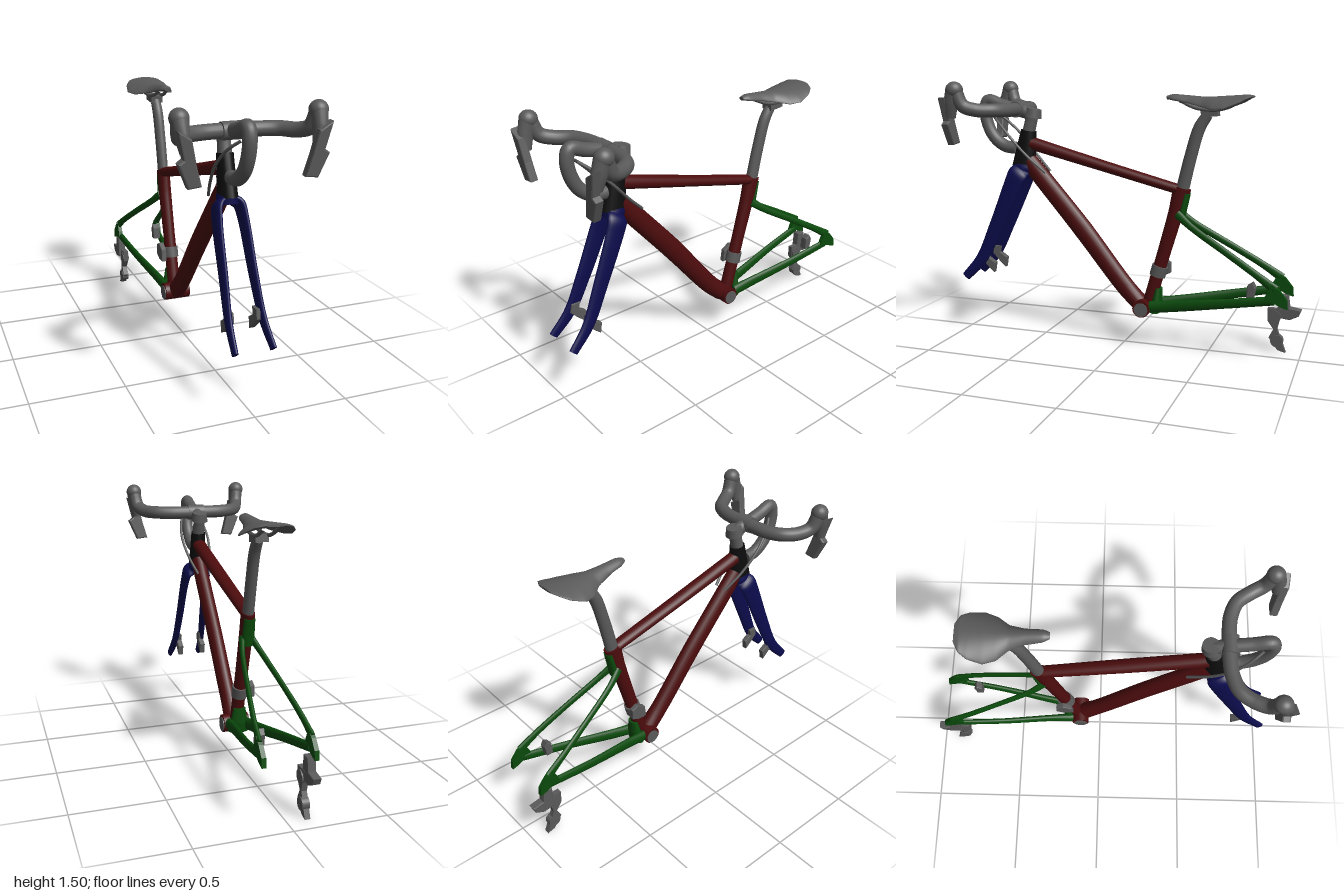
import * as THREE from 'three';

const mat = (name, color) => {
  const m = new THREE.MeshStandardMaterial({ color });
  m.name = name;
  return m;
};
const V = (p) => new THREE.Vector3(p[0], p[1], p[2]);

// Sweeps an oval along stations [x, y, z, halfWidth, halfDepth, droop]
function loft(stations, steps = 24, sides = 20) {
  const curve = new THREE.CatmullRomCurve3(stations.map(V));
  const pos = [], index = [], n = stations.length - 1;
  const ring = (t) => {
    const i = Math.min(n - 1, Math.floor(t * n)), f = t * n - i;
    const [a, b, d] = [3, 4, 5].map((k) =>
      THREE.MathUtils.lerp(stations[i][k] || 0, stations[i + 1][k] || 0, f));
    const c = curve.getPoint(t), T = curve.getTangent(t);
    const N = new THREE.Vector3(1, 0, 0).addScaledVector(T, -T.x).normalize();
    const B = T.clone().cross(N);
    for (let j = 0; j < sides; j++) {
      const q = (j / sides) * Math.PI * 2, cs = Math.cos(q);
      const p = c.clone().addScaledVector(N, a * cs).addScaledVector(B, b * Math.sin(q));
      pos.push(p.x, p.y - d * cs * cs, p.z);
    }
    return c;
  };
  for (let i = 0; i <= steps; i++) ring(i / steps);
  for (let i = 0; i < steps; i++) for (let j = 0; j < sides; j++) {
    const a = i * sides + j, b = i * sides + ((j + 1) % sides);
    index.push(a, b, a + sides, b, b + sides, a + sides);
  }
  // flat end caps
  for (const t of [0, 1]) {
    const start = pos.length / 3, c = ring(t), mid = pos.length / 3;
    pos.push(c.x, c.y, c.z);
    for (let j = 0; j < sides; j++) {
      const a = start + j, b = start + ((j + 1) % sides);
      if (t) index.push(mid, a, b); else index.push(mid, b, a);
    }
  }
  const g = new THREE.BufferGeometry();
  g.setAttribute('position', new THREE.Float32BufferAttribute(pos, 3));
  g.setIndex(index);
  g.computeVertexNormals();
  return g;
}

const tube = (pts, r, steps = 40, sides = 14) =>
  new THREE.TubeGeometry(new THREE.CatmullRomCurve3(pts.map(V)), steps, r, sides);

function extrude(pts, depth, bevel = 0) {
  const g = new THREE.ExtrudeGeometry(new THREE.Shape(pts.map((p) => new THREE.Vector2(...p))), {
    depth, bevelEnabled: bevel > 0, bevelSize: bevel, bevelThickness: bevel, bevelSegments: 2, bevelOffset: -bevel,
  });
  return g.translate(0, 0, -depth / 2);
}
// Plate outlined in (z, y), centred on the given x
const sidePlate = (pts, x, depth, bevel) => extrude(pts, depth, bevel).rotateY(-Math.PI / 2).translate(x, 0, 0);
const box = (w, h, d, x, y, z, tilt = 0) => new THREE.BoxGeometry(w, h, d).rotateX(tilt).translate(x, y, z);
const axle = (r, len, x, y, z) => new THREE.CylinderGeometry(r, r, len, 28).rotateZ(Math.PI / 2).translate(x, y, z);

export function createModel() {
  const model = new THREE.Group();
  const red = mat('frame red', 0x4c0c0d), green = mat('rear green', 0x0b4a0c), blue = mat('fork blue', 0x0c0c4c);
  const grey = mat('component grey', 0x5a5a5a), black = mat('head tube black', 0x0d0d0d);
  const add = (name, geometry, material) => {
    const m = new THREE.Mesh(geometry, material);
    m.name = name;
    model.add(m);
  };

  // Main triangle
  add('headTube', loft([[0, 1.0, 0.625, 0.05, 0.07], [0, 1.1, 0.607, 0.046, 0.06], [0, 1.215, 0.588, 0.042, 0.045]]), black);
  add('topTube', loft([[0, 1.14, 0.57, 0.04, 0.038], [0, 1.024, 0.13, 0.04, 0.031], [0, 0.91, -0.31, 0.035, 0.028]]), red);
  add('downTube', loft([[0, 1.04, 0.59, 0.042, 0.05], [0, 0.95, 0.515, 0.043, 0.055], [0, 0.65, 0.255, 0.043, 0.058],
    [0, 0.33, -0.005, 0.044, 0.054], [0, 0.235, -0.1, 0.052, 0.05]]), red);
  add('seatTube', loft([[0, 0.22, -0.14, 0.037, 0.036], [0, 0.55, -0.235, 0.034, 0.038],
    [0, 0.78, -0.3, 0.036, 0.042], [0, 0.92, -0.335, 0.036, 0.052]]), red);
  add('bottomBracketShell', axle(0.05, 0.148, 0, 0.225, -0.12), red);
  add('bottomBracketCaps', axle(0.04, 0.158, 0, 0.22, -0.12), grey);

  // Rear triangle
  add('seatStaySpine', loft([[0, 0.89, -0.363, 0.03, 0.02], [0, 0.8, -0.343, 0.034, 0.02], [0, 0.74, -0.328, 0.034, 0.023]]), green);
  add('chainStayYoke', loft([[0, 0.34, -0.205, 0.034, 0.02], [0, 0.26, -0.195, 0.05, 0.03], [0, 0.2, -0.185, 0.06, 0.03]]), green);
  const dropout = [[-0.82, 0.36], [-0.83, 0.39], [-0.86, 0.45], [-0.9, 0.42], [-0.94, 0.37], [-0.945, 0.32], [-0.91, 0.33], [-0.88, 0.345]];
  for (const s of [-1, 1]) {
    add('seatStay', loft([[s * 0.025, 0.775, -0.315, 0.016, 0.025], [s * 0.052, 0.712, -0.4, 0.013, 0.02],
      [s * 0.095, 0.588, -0.61, 0.012, 0.019], [s * 0.123, 0.492, -0.77, 0.013, 0.02], [s * 0.136, 0.42, -0.88, 0.013, 0.026]]), green);
    add('chainStay', loft([[s * 0.045, 0.235, -0.17, 0.025, 0.034], [s * 0.06, 0.255, -0.3, 0.018, 0.033],
      [s * 0.105, 0.31, -0.6, 0.015, 0.027], [s * 0.134, 0.36, -0.87, 0.014, 0.025]]), green);
    add('dropout', sidePlate(dropout, s * 0.135, 0.024), green);
  }

  // Fork
  add('forkCrown', loft([[0, 1.035, 0.615, 0.046, 0.058], [0, 1.005, 0.622, 0.053, 0.068], [0, 0.965, 0.634, 0.06, 0.055]]), blue);
  for (const s of [-1, 1]) {
    add('forkLeg', loft([[s * 0.03, 0.985, 0.627, 0.02, 0.055], [s * 0.057, 0.965, 0.638, 0.023, 0.06],
      [s * 0.069, 0.9, 0.666, 0.019, 0.056], [s * 0.079, 0.65, 0.775, 0.018, 0.045],
      [s * 0.09, 0.45, 0.872, 0.016, 0.036], [s * 0.1, 0.335, 0.975, 0.014, 0.027]], 32), blue);
    // front brake block
    add('frontBrake', sidePlate([[0.87, 0.5], [0.82, 0.5], [0.83, 0.46], [0.785, 0.43], [0.795, 0.37], [0.83, 0.4], [0.88, 0.45]],
      s > 0 ? 0.07 : -0.08, 0.025, 0.004), grey);
  }

  // Saddle and post
  add('saddle', loft([[0, 1.41, -0.245, 0.018, 0.01, 0], [0, 1.412, -0.28, 0.034, 0.017, 0.01], [0, 1.405, -0.37, 0.044, 0.018, 0.02],
    [0, 1.4, -0.45, 0.07, 0.017, 0.035], [0, 1.402, -0.51, 0.118, 0.016, 0.05], [0, 1.407, -0.575, 0.14, 0.015, 0.05],
    [0, 1.414, -0.65, 0.125, 0.013, 0.028], [0, 1.418, -0.69, 0.098, 0.011, 0.01], [0, 1.418, -0.715, 0.05, 0.006, 0]], 48, 32), grey);
  add('seatPost', loft([[0, 0.88, -0.33, 0.03, 0.037], [0, 1.1, -0.382, 0.03, 0.035],
    [0, 1.25, -0.427, 0.03, 0.034], [0, 1.32, -0.47, 0.028, 0.03]]), grey);
  add('saddleClamp', box(0.07, 0.04, 0.09, 0, 1.33, -0.485, 0.1), grey);
  for (const s of [-1, 1])
    add('saddleRail', tube([[s * 0.02, 1.395, -0.32], [s * 0.03, 1.355, -0.42], [s * 0.035, 1.35, -0.54], [s * 0.04, 1.395, -0.65]], 0.01, 24, 8), grey);

  // Stem
  add('stemNeck', loft([[0, 1.2, 0.59, 0.037, 0.037], [0, 1.27, 0.572, 0.034, 0.036], [0, 1.34, 0.56, 0.036, 0.04]]), grey);
  add('stemCap', new THREE.CylinderGeometry(0.042, 0.05, 0.05, 24).rotateX(-0.2).translate(0, 1.315, 0.555), grey);
  add('stemArm', loft([[0, 1.3, 0.54, 0.034, 0.032], [0, 1.335, 0.66, 0.036, 0.04]], 4), grey);
  add('barClamp', axle(0.045, 0.1, 0, 1.335, 0.65), grey);

  // Handlebar with a central curved drop
  const half = [[0.07, 1.335, 0.645], [0.16, 1.335, 0.655], [0.24, 1.337, 0.69], [0.295, 1.34, 0.765], [0.325, 1.365, 0.83], [0.34, 1.45, 0.865]];
  const flipped = half.map(([x, y, z]) => [-x, y, z]).reverse();
  add('handlebar', tube([...flipped, ...half], 0.038, 96, 18), grey);
  const drop = [[0, 1.335, 0.66], [0, 1.36, 0.76], [0, 1.385, 0.845], [0, 1.34, 0.865], [0, 1.25, 0.853], [0, 1.17, 0.81], [0, 1.12, 0.74], [0, 1.11, 0.665]];
  add('centreDrop', loft(drop.map((p) => [...p, 0.035, 0.036]), 48), grey);

  // Hoods, levers and cables on both sides
  for (const s of [-1, 1]) {
    add('hood', new THREE.SphereGeometry(0.046, 24, 16).scale(1, 1, 1.05).translate(s * 0.34, 1.45, 0.87), grey);
    add('hoodFront', loft([[s * 0.34, 1.45, 0.876, 0.042, 0.042], [s * 0.336, 1.38, 0.895, 0.035, 0.042], [s * 0.325, 1.3, 0.912, 0.025, 0.034]]), grey);
    const outline = [[0.375, 1.41], [0.345, 1.28], [0.37, 1.262], [0.32, 1.145], [0.255, 1.152], [0.282, 1.25], [0.308, 1.37]];
    const pts = outline.map(([x, y]) => [s * x, y]);
    const lever = extrude(s > 0 ? pts : pts.reverse(), 0.03, 0.008);
    add('brakeLever', lever.translate(0, -1.3, 0).rotateX(0.08).translate(0, 1.3, 0.925), grey);
    add('cable', tube([[s * 0.02, 1.32, 0.82], [s * 0.06, 1.27, 0.76], [s * 0.083, 1.18, 0.67], [s * 0.068, 1.07, 0.57], [s * 0.036, 0.975, 0.47]], 0.008, 36, 8), grey);
  }

  // Front shifter on the seat tube
  add('frontShifterBand', loft([[0, 0.41, -0.196, 0.043, 0.046], [0, 0.47, -0.213, 0.043, 0.046]], 4), grey);
  add('frontShifterCage', sidePlate([[-0.16, 0.4], [-0.17, 0.47], [-0.22, 0.5], [-0.26, 0.48], [-0.26, 0.42], [-0.22, 0.4]], -0.055, 0.022, 0.004), grey);

  // Rear brake
  add('rearBrake', sidePlate([[-0.72, 0.35], [-0.725, 0.42], [-0.755, 0.44], [-0.77, 0.41], [-0.76, 0.35]], 0.085, 0.035, 0.005), grey);

  // Rear shifter hanging below the right dropout
  add('rearShifterBody', sidePlate([[-0.87, 0.33], [-0.92, 0.33], [-0.93, 0.26], [-0.995, 0.25], [-0.98, 0.215], [-0.93, 0.19], [-0.86, 0.2]],
    -0.118, 0.035, 0.005), grey);
  add('rearShifterCage', sidePlate([[-0.81, 0.25], [-0.89, 0.25], [-0.865, 0.13], [-0.915, 0.0], [-0.87, 0.012], [-0.82, 0.08],
    [-0.845, 0.13], [-0.81, 0.18]], -0.108, 0.03), grey);
  for (const [y, z] of [[0.205, -0.85], [0.065, -0.865]])
    add('guideWheel', axle(0.035, 0.04, -0.106, y, z), grey);
  return model;
}
